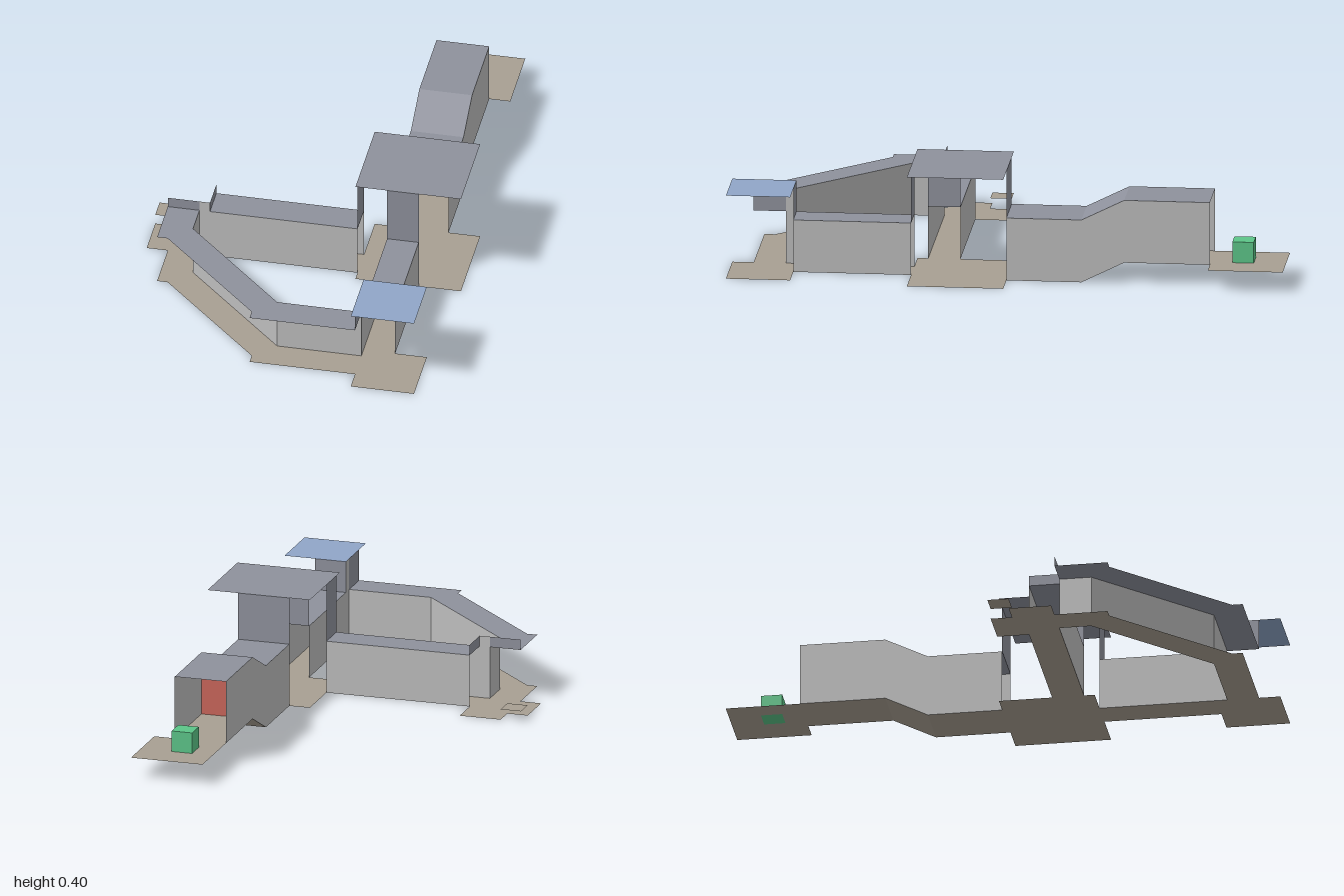
import * as THREE from 'three';

const U = 1 / 26; // one grid step of the layout

const flat = (name, color) => {
  const m = new THREE.MeshStandardMaterial({ color, side: THREE.DoubleSide });
  m.name = name;
  return m;
};

export function createModel() {
  const model = new THREE.Group();
  model.name = 'corridorLayout';

  const wall = flat('wallGrey', 0xbcbcbc);
  const roof = flat('roofSlate', 0x8e919c);
  const floor = flat('floorTan', 0xa89f92);
  const blue = flat('ceilingBlue', 0x90a6c8);
  const red = flat('doorRed', 0xc8665a);
  const green = flat('crateGreen', 0x5cc488);

  const add = (name, geometry, material) => {
    const mesh = new THREE.Mesh(geometry, material);
    mesh.name = name;
    model.add(mesh);
    return mesh;
  };

  // Horizontal sheet from an outline of [x, z] points
  const sheet = (name, mat, y, outline) => {
    const shape = new THREE.Shape(outline.map(([x, z]) => new THREE.Vector2(x * U, -z * U)));
    const g = new THREE.ShapeGeometry(shape).rotateX(-Math.PI / 2).translate(0, y * U, 0);
    return add(name, g, mat);
  };
  const rect = (x0, x1, z0, z1) => [[x0, z1], [x1, z1], [x1, z0], [x0, z0]];

  // Strip of flat quads between two matching rows of [x, y, z] points
  const ribbon = (name, mat, a, b) => {
    const pos = [];
    for (let i = 0; i + 1 < a.length; i++) {
      pos.push(...a[i], ...a[i + 1], ...b[i + 1], ...a[i], ...b[i + 1], ...b[i]);
    }
    const g = new THREE.BufferGeometry();
    g.setAttribute('position', new THREE.Float32BufferAttribute(pos.map((v) => v * U), 3));
    g.computeVertexNormals();
    return add(name, g, mat);
  };

  // Upright wall along a path of [x, z] points
  const upright = (name, mat, y0, y1, path) => ribbon(name, mat,
    path.map(([x, z]) => [x, y0, z]), path.map(([x, z]) => [x, y1, z]));

  // Room floors and ceilings
  sheet('hubFloor', floor, 0, rect(5, 15, 0, 9));
  sheet('hubCeiling', roof, 10.5, rect(5, 15, 0, 9));
  sheet('southRoomFloor', floor, 0, rect(8, 14, 20, 26));
  sheet('southRoomCeiling', blue, 8, rect(8, 14, 20, 26));
  sheet('northRoomFloor', floor, 2, rect(7, 14, -26, -19));
  sheet('westRoomFloor', floor, 0, [[-15, 8], [-9, 8], [-9, 2], [-13, 2], [-13, 4], [-15, 4]]);
  sheet('westRoomStep', floor, 1, rect(-15, -13, 2, 4));

  // West and south corridors
  const corridors = [
    ['west', rect(-9, 5, 5, 8), [[-9, 5], [5, 5]], [[-9, 8], [5, 8]]],
    ['south', rect(8, 11, 9, 20), [[8, 9], [8, 20]], [[11, 9], [11, 20]]],
  ];
  for (const [name, outline, sideA, sideB] of corridors) {
    sheet(name + 'CorridorFloor', floor, 0, outline);
    sheet(name + 'CorridorRoof', roof, 5, outline);
    upright(name + 'CorridorWallA', wall, 0, 5, sideA);
    upright(name + 'CorridorWallB', wall, 0, 5, sideB);
  }

  // Diagonal corridor, open on its outer side
  const inner = [[8, 21], [0, 21], [-10, 11], [-10, 8]];
  const bend = [[-13, 8], [-13, 13], [-12, 13], [-2, 23], [-2, 24], [8, 24], ...inner];
  sheet('diagonalFloor', floor, 0, bend);
  sheet('diagonalRoof', roof, 5, bend);
  upright('diagonalInnerWall', wall, 0, 5, inner);

  // North corridor with its ramp
  const profile = [[0, 0], [0, -7], [2, -11], [2, -19]]; // [y, z]
  const line = (x, lift) => profile.map(([y, z]) => [x, y + lift, z]);
  ribbon('northCorridorFloor', floor, line(7, 0), line(12, 0));
  ribbon('northCorridorRoof', roof, line(7, 6), line(12, 6));
  for (const x of [7, 12]) ribbon('northCorridorWall', wall, line(x, 0), line(x, 6));
  upright('redDoor', red, 2, 8, [[7, -11], [12, -11]]);

  // Panels above the doorways
  const lintels = [
    ['hubNorthLintel', 6, 10.5, [[7, 0], [12, 0]]],
    ['hubWestLintel', 5, 10.5, [[5, 5], [5, 8]]],
    ['hubSouthLintel', 5, 10.5, [[8, 9], [11, 9]]],
    ['southRoomNorthLintel', 5, 8, [[8, 20], [11, 20]]],
    ['southRoomWestLintel', 5, 8, [[8, 21], [8, 24]]],
    ['westRoomEastLintel', 5, 6, [[-9, 5], [-9, 8]]],
    ['westRoomSouthLintel', 5, 6, [[-13, 8], [-10, 8]]],
  ];
  for (const [name, y0, y1, path] of lintels) upright(name, roof, y0, y1, path);

  // Short walls beside the doorways
  upright('southRoomJamb', wall, 0, 8, [[8, 20], [8, 21]]);
  upright('westRoomJamb', wall, 0, 6, [[-10, 8], [-9, 8]]);

  // Crate in the north room
  add('crate', new THREE.BoxGeometry(2 * U, 2 * U, 2 * U), green).position.set(10 * U, 3 * U, -22 * U);

  return model;
}
